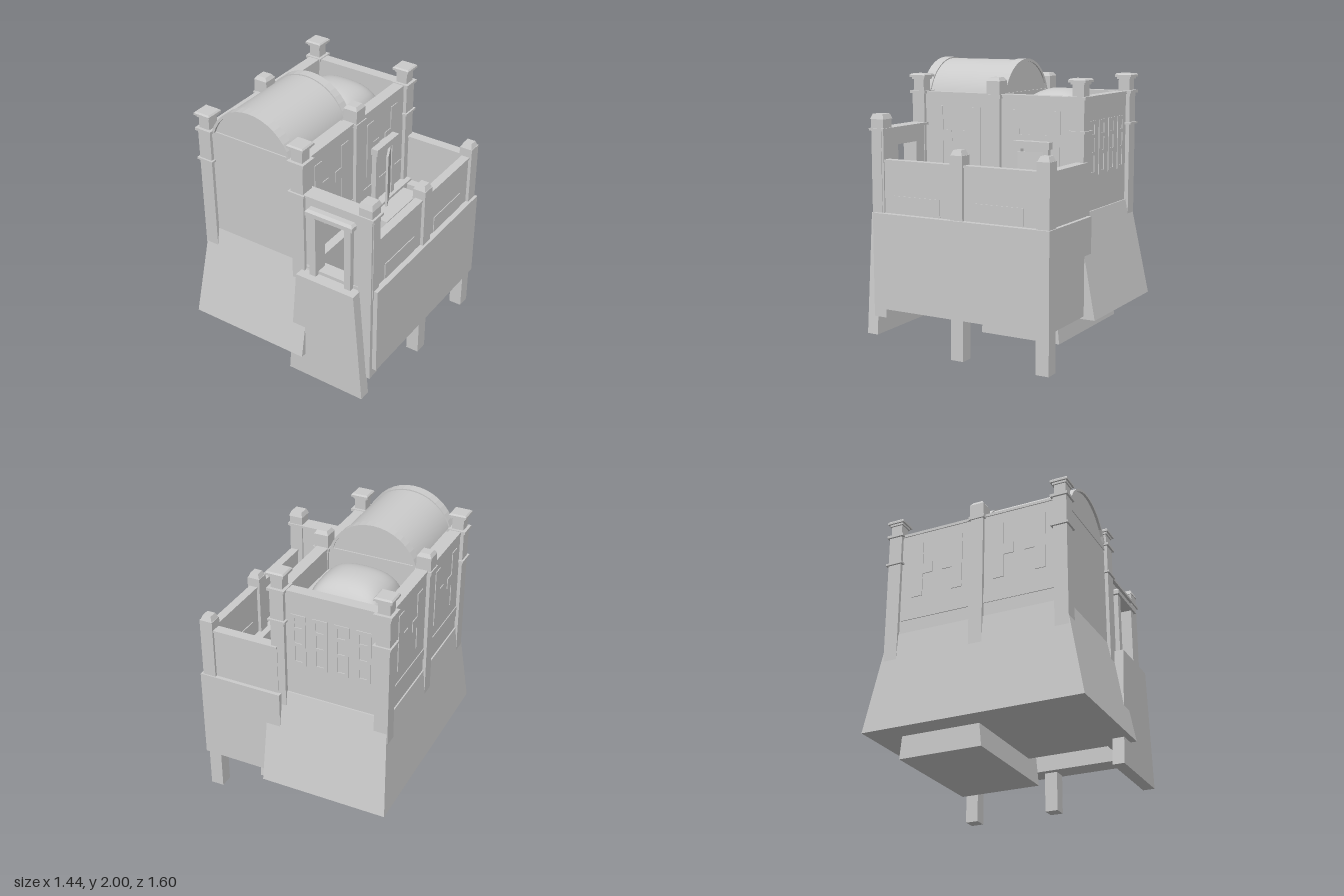
import * as THREE from 'three';

const mat = new THREE.MeshStandardMaterial({ color: 0xcccccc });
const CX = -0.26; // tower centre line

export function createModel() {
  const root = new THREE.Group();
  const add = (name, geo, parent = root) => {
    const m = new THREE.Mesh(geo, mat);
    m.name = name;
    parent.add(m);
    return m;
  };
  // Block that runs from a bottom rectangle to a top rectangle, each [x0, x1, z0, z1]
  const taper = (name, y0, y1, bottom, top, parent) => {
    const g = new THREE.BoxGeometry(1, 1, 1), p = g.attributes.position;
    for (let i = 0; i < p.count; i++) {
      const r = p.getY(i) > 0 ? top : bottom;
      p.setXYZ(i, p.getX(i) > 0 ? r[1] : r[0], p.getY(i) > 0 ? y1 : y0, p.getZ(i) > 0 ? r[3] : r[2]);
    }
    g.computeVertexNormals();
    return add(name, g, parent);
  };
  const box = (name, x0, x1, y0, y1, z0, z1, parent) =>
    taper(name, y0, y1, [x0, x1, z0, z1], [x0, x1, z0, z1], parent);
  const square = (x, z, h) => [x - h, x + h, z - h, z + h];
  const post = (name, x, z, layers) => {
    const g = new THREE.Group();
    g.name = name;
    for (const [y0, y1, h0, h1 = h0] of layers)
      taper(name + 'Part', y0, y1, square(x, z, h0), square(x, z, h1), g);
    root.add(g);
  };

  // Tower: flared base, body and parapet walls
  taper('flaredBase', 0.27, 0.98, [-0.725, 0.205, -0.8, 0.8], [-0.67, 0.205, -0.665, 0.665]);
  box('rearBayCore', -0.66, 0.14, 0.9, 1.6, -0.655, 0.02);
  box('frontBayCore', -0.66, 0.14, 0.9, 1.74, 0, 0.665);
  for (const s of [-1, 1]) {
    const x = CX + s * 0.365;
    box('towerSideWall', x - 0.035, x + 0.035, 1.5, 1.765, -0.655, 0.65);
    box('towerSideRail', x - 0.042, x + 0.042, 1.75, 1.77, -0.655, 0.65);
  }
  box('towerBackWall', -0.62, 0.1, 1.5, 1.765, -0.655, -0.59);
  box('towerBackRail', -0.62, 0.1, 1.75, 1.77, -0.665, -0.585);
  box('towerFrontRail', -0.62, 0.1, 1.72, 1.77, 0.6, 0.67);
  box('towerCrossWall', -0.62, 0.1, 1.5, 1.77, -0.02, 0.04);

  // Barrel vault with an arched rim at each end
  const a0 = Math.PI / 2 - 1.265, a1 = Math.PI / 2 + 1.265;
  const arch = (name, r, inner, z0, z1, segs) => {
    const s = new THREE.Shape();
    s.absarc(CX, 1.67, r, a0, a1, false);
    if (inner) s.absarc(CX, 1.67, inner, a1, a0, true);
    s.closePath();
    const g = new THREE.ExtrudeGeometry(s, { depth: z1 - z0, bevelEnabled: false, curveSegments: segs });
    g.translate(0, 0, z0);
    return add(name, g);
  };
  arch('vaultEnds', 0.318, 0, -0.01, 0.66, 32);
  arch('frontArchRim', 0.331, 0.312, 0.605, 0.678, 8);
  arch('rearArchRim', 0.331, 0.312, -0.02, 0.045, 8);
  const barrel = new THREE.CylinderGeometry(0.322, 0.322, 0.62, 40, 1, true, Math.PI - 1.25, 2.5);
  barrel.rotateX(Math.PI / 2);
  add('barrelVault', barrel).position.set(CX, 1.67, 0.32);

  // Cushion-shaped dome over the rear bay
  const dome = new THREE.PlaneGeometry(2, 2, 20, 20);
  dome.rotateX(-Math.PI / 2);
  const dp = dome.attributes.position;
  for (let i = 0; i < dp.count; i++) {
    const u = dp.getX(i), v = dp.getZ(i);
    const k = Math.pow(1 - u ** 4, 0.6) * Math.pow(1 - v ** 4, 0.6);
    const c = 1 - 0.12 * u * u * v * v;
    dp.setXYZ(i, CX + 0.275 * u * c, 1.6 + 0.14 * k + 0.06 * (1 - u * u) * (1 - v * v), -0.295 + 0.255 * v * c);
  }
  dome.computeVertexNormals();
  add('dome', dome);

  // Tower posts: ringed corners and plain middles
  for (const x of [CX - 0.375, CX + 0.375]) {
    for (const z of [-0.635, 0.64])
      post('towerCornerPost', x, z, [
        [0.7, 1.76, 0.05], [1.76, 1.87, 0.042], [1.53, 1.545, 0.064], [1.755, 1.775, 0.064],
        [1.855, 1.87, 0.052], [1.87, 1.885, 0.064], [1.885, 1.895, 0.064, 0.055]]);
    post('towerMiddlePost', x, 0.015, [
      [0.7, 1.76, 0.05], [1.74, 1.765, 0.06], [1.76, 1.86, 0.052], [1.86, 1.885, 0.052, 0.036]]);
  }

  // Shallow raised panels on the tower sides
  const e = 0.006;
  for (const [x0, x1] of [[-0.66 - e, -0.65], [0.13, 0.14 + e]]) {
    for (const zc of [0.33, -0.3]) {
      for (const s of [-1, 1]) {
        box('sidePanel', x0, x1, 1.25, 1.67, zc + s * 0.155 - 0.04, zc + s * 0.155 + 0.04);
        box('sidePanelBlock', x0, x1, 1.42, 1.5, zc + s * 0.08 - 0.04, zc + s * 0.08 + 0.04);
      }
      box('sideBand', x0, x1, 1.08, 1.16, zc - 0.27, zc + 0.27);
    }
  }
  // Four framed panels on the tower back
  for (let i = 0; i < 4; i++) {
    const x = CX + (i - 1.5) * 0.155;
    for (const s of [-1, 1])
      box('backPanelStile', x + s * 0.04 - 0.013, x + s * 0.04 + 0.013, 1.22, 1.6, -0.655 - e, -0.645);
    for (const y of [1.22, 1.36, 1.48, 1.575])
      box('backPanelBar', x - 0.04, x + 0.04, y, y + 0.025, -0.655 - e, -0.645);
  }

  // Flared steps blocks below the two doorways
  taper('sideStepBlock', 0.11, 0.96, [-0.56, 0.34, -0.6, 0.01], [-0.56, 0.34, -0.52, -0.07]);
  taper('frontStepBlock', 0.08, 0.94, [0.065, 0.67, 0.67, 0.755], [0.14, 0.595, 0.67, 0.755]);

  // Tower side doorway with a door standing ajar
  box('sideDoorLintel', 0.13, 0.2, 1.41, 1.46, -0.44, -0.155);
  for (const z of [-0.425, -0.21]) box('sideDoorJamb', 0.13, 0.18, 0.96, 1.41, z, z + 0.04);
  const door = box('sideDoor', -0.008, 0.008, 0.97, 1.39, -0.105, 0.105);
  door.position.set(0.195, 0, -0.315);
  door.rotation.y = 0.44;

  // Annexe: thick skirt around an open court
  box('skirtSide', 0.555, 0.717, 0.29, 0.965, -0.717, 0.65);
  box('skirtBack', 0.1, 0.6, 0.29, 0.965, -0.717, -0.57);
  box('skirtFront', 0.1, 0.6, 0.29, 0.965, 0.57, 0.67);

  // Annexe parapets with caps and low raised panels
  box('sideParapet', 0.625, 0.675, 0.9, 1.32, -0.66, 0.63);
  box('sideParapetCap', 0.62, 0.682, 1.32, 1.335, -0.66, 0.63);
  for (const z of [0.315, -0.325]) {
    box('parapetPanelOuter', 0.67, 0.681, 0.97, 1.09, z - 0.185, z + 0.185);
    box('parapetPanelInner', 0.618, 0.63, 0.97, 1.09, z - 0.185, z + 0.185);
  }
  box('backParapet', 0.12, 0.65, 0.9, 1.32, -0.69, -0.635);
  box('backParapetCap', 0.12, 0.65, 1.32, 1.335, -0.7, -0.627);

  // Annexe posts
  const stub = [[1.4, 1.435, 0.044, 0.03], [0, 1.4, 0.048]];
  post('annexeMiddlePost', 0.65, -0.01, stub);
  post('annexeRearPost', 0.65, -0.66, stub);
  post('annexeFrontPost', 0.635, 0.63, [[0.22, 1.61, 0.05], [1.61, 1.645, 0.055, 0.042]]);

  // Annexe front wall with its door opening
  const wall = new THREE.Shape([[0.14, 0.9], [0.69, 0.9], [0.69, 1.535], [0.14, 1.535]].map(p => new THREE.Vector2(...p)));
  wall.holes.push(new THREE.Path([[0.265, 0.95], [0.265, 1.42], [0.49, 1.42], [0.49, 0.95]].map(p => new THREE.Vector2(...p))));
  const wg = new THREE.ExtrudeGeometry(wall, { depth: 0.07, bevelEnabled: false });
  wg.translate(0, 0, 0.595);
  add('annexeFrontWall', wg);
  box('frontWallCap', 0.14, 0.7, 1.53, 1.548, 0.57, 0.69);
  for (const x of [0.215, 0.49]) box('frontDoorJamb', x, x + 0.05, 0.94, 1.42, 0.65, 0.705);
  box('frontDoorLintel', 0.195, 0.56, 1.42, 1.45, 0.65, 0.72);
  taper('frontDoorLintelTop', 1.45, 1.467, [0.195, 0.56, 0.65, 0.72], [0.21, 0.545, 0.65, 0.705]);

  return root;
}
